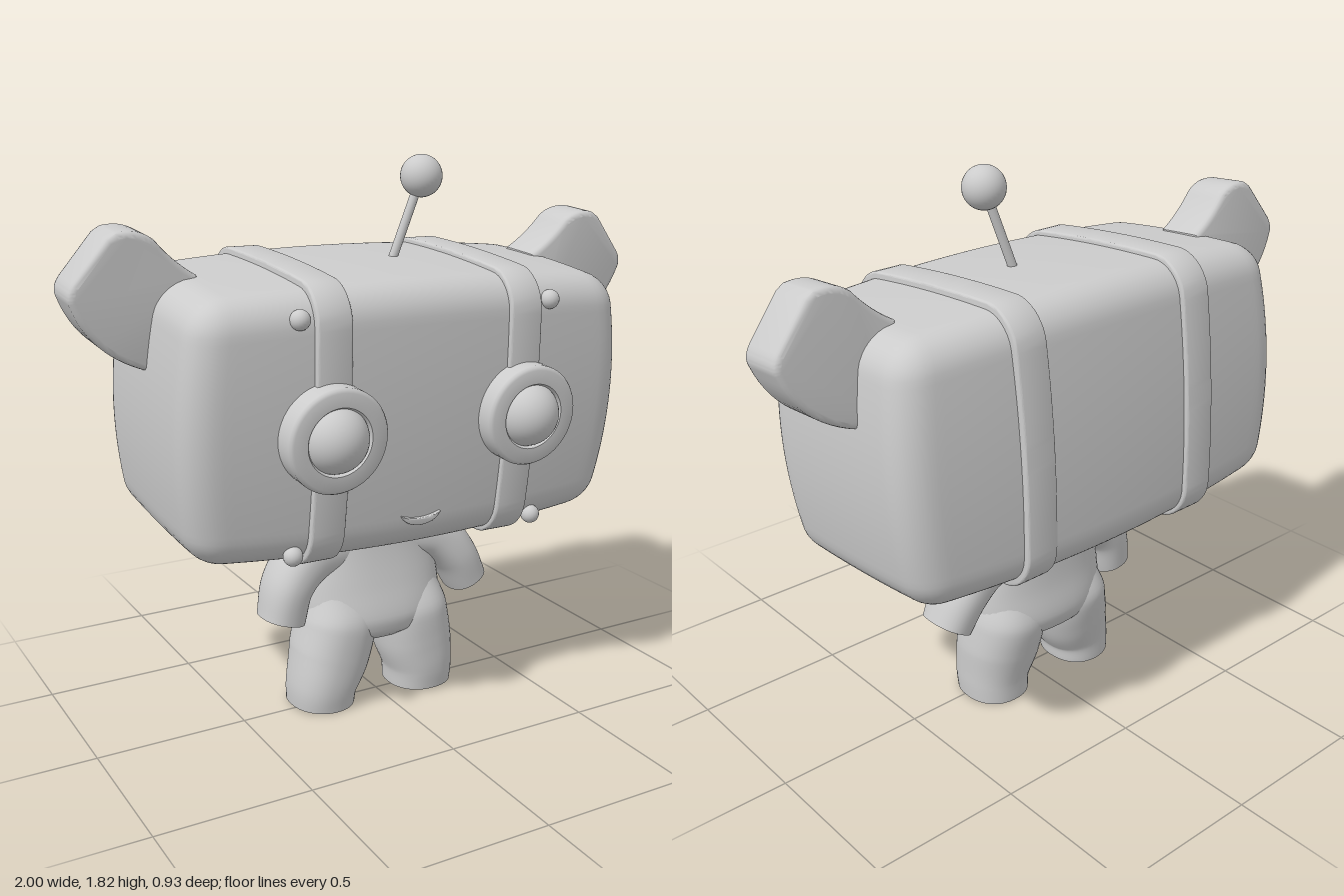
import * as THREE from 'three';
import { mergeVertices, toCreasedNormals } from 'three/addons/utils/BufferGeometryUtils.js';

const material = new THREE.MeshStandardMaterial({ color: 0xcccccc });
const HEAD = [0.78, 0.44, 0.39];

function part(parent, name, geometry, x = 0, y = 0, z = 0) {
  const mesh = new THREE.Mesh(geometry, material);
  mesh.name = name;
  mesh.position.set(x, y, z);
  parent.add(mesh);
  return mesh;
}

// Moves a point of a box surface onto a rounded box with bulging faces
function pillow(p, [hx, hy, hz], r) {
  const inner = new THREE.Vector3(hx - r, hy - r, hz - r);
  const core = p.clone().clamp(inner.clone().negate(), inner);
  p.sub(core).setLength(r).add(core);
  const u = (p.x / hx) ** 2, v = (p.y / hy) ** 2, w = (p.z / hz) ** 2;
  return p.set(
    p.x * (1 - 0.06 * v),
    p.y * (1 - 0.08 * u) * (1 - 0.03 * w),
    p.z * (1 - 0.1 * u) * (1 - 0.06 * v));
}

function headShell() {
  const [hx, hy, hz] = HEAD;
  let geo = new THREE.BoxGeometry(hx * 2, hy * 2, hz * 2, 56, 36, 36);
  geo.deleteAttribute('uv');
  geo.deleteAttribute('normal');
  geo = mergeVertices(geo);
  const pos = geo.attributes.position, p = new THREE.Vector3();
  for (let i = 0; i < pos.count; i++) {
    pillow(p.fromBufferAttribute(pos, i), HEAD, 0.1);
    pos.setXYZ(i, p.x, p.y, p.z);
  }
  geo.computeVertexNormals();
  return geo;
}

function extrude(points, depth, bevel) {
  const shape = Array.isArray(points) ? new THREE.Shape(points) : points;
  const geo = new THREE.ExtrudeGeometry(shape, {
    depth: depth - 2 * bevel, bevelThickness: bevel, bevelSize: bevel, bevelOffset: -bevel,
    bevelSegments: 3, curveSegments: 12
  });
  geo.translate(0, 0, bevel - depth / 2);
  return toCreasedNormals(geo, 0.6);
}

// Strap that follows the head's own cross-section, slightly proud of it
function strap() {
  const t = 0.018, [hx, hy, hz] = [HEAD[0], HEAD[1] + t, HEAD[2] + t];
  const corners = [[-1, -1], [1, -1], [1, 1], [-1, 1]], n = 36, points = [];
  corners.forEach(([a, b], k) => {
    const [c, d] = corners[(k + 1) % 4];
    for (let i = 0; i < n; i++) {
      const s = i / n;
      const p = new THREE.Vector3(0.34, (b + (d - b) * s) * hy, (a + (c - a) * s) * hz);
      pillow(p, [hx, hy, hz], 0.1 + t);
      points.push(new THREE.Vector2(-p.z, p.y));
    }
  });
  return extrude(points, 0.115, 0.007).rotateY(Math.PI / 2);
}

// Ear outline in the head's frame, mirrored by side
function ear(side) {
  const s = new THREE.Shape();
  s.moveTo(side * 0.6, 0.3);
  s.lineTo(side * 0.61, 0.42);
  s.quadraticCurveTo(side * 0.68, 0.46, side * 0.74, 0.53);
  s.quadraticCurveTo(side * 0.79, 0.57, side * 0.86, 0.556);
  s.lineTo(side * 0.885, 0.54);
  s.lineTo(side * 0.985, 0.415);
  s.quadraticCurveTo(side * 1.01, 0.38, side * 0.995, 0.35);
  s.quadraticCurveTo(side * 0.94, 0.2, side * 0.77, 0.14);
  s.lineTo(side * 0.65, 0.14);
  return extrude(s, 0.165, 0.018);
}

// Smooth limb through keys [x, y, z, half width, half depth], with flat ends
function limb(keys) {
  const centre = new THREE.CatmullRomCurve3(keys.map(k => new THREE.Vector3(k[0], k[1], k[2])));
  const size = new THREE.CatmullRomCurve3(keys.map(k => new THREE.Vector3(k[3], k[4], 0)));
  const rows = 28, cols = 40, pos = [], index = [];
  const round = v => Math.sign(v) * Math.abs(v) ** 0.88;
  for (let i = 0; i <= rows; i++) {
    const c = centre.getPoint(i / rows), t = centre.getTangent(i / rows), r = size.getPoint(i / rows);
    const len = Math.hypot(t.x, t.y);
    for (let j = 0; j < cols; j++) {
      const a = j / cols * Math.PI * 2;
      const w = round(Math.cos(a)) * r.x, d = round(Math.sin(a)) * r.y;
      pos.push(c.x + t.y / len * w, Math.max(0, c.y - t.x / len * w), c.z + d);
    }
  }
  for (let i = 0; i < rows; i++) {
    for (let j = 0; j < cols; j++) {
      const a = i * cols + j, b = i * cols + (j + 1) % cols;
      index.push(a, a + cols, b, b, a + cols, b + cols);
    }
  }
  for (const row of [0, rows]) {
    const base = pos.length / 3, start = row * cols * 3;
    pos.push(...pos.slice(start, start + cols * 3));
    for (let j = 1; j < cols - 1; j++) {
      if (row) index.push(base, base + j + 1, base + j);
      else index.push(base, base + j, base + j + 1);
    }
  }
  const geo = new THREE.BufferGeometry();
  geo.setAttribute('position', new THREE.Float32BufferAttribute(pos, 3));
  geo.setIndex(index);
  geo.computeVertexNormals();
  return geo;
}

export function createModel() {
  const model = new THREE.Group();
  model.name = 'robotFigure';

  // Head, tipped slightly forward and to one side
  const head = new THREE.Group();
  head.name = 'head';
  head.position.set(-0.003, 1.06, -0.045);
  head.rotation.set(0.07, 0, -0.0125);
  model.add(head);
  part(head, 'headShell', headShell());

  const v2 = (x, y) => new THREE.Vector2(x, y);
  const rim = toCreasedNormals(new THREE.LatheGeometry(
    [v2(0.1, 0), v2(0.163, 0), v2(0.163, 0.088), v2(0.158, 0.096), v2(0.15, 0.1), v2(0.106, 0.1), v2(0.1, 0.09), v2(0.1, 0)],
    56).rotateX(Math.PI / 2), 0.6);

  for (const side of [-1, 1]) {
    const label = side > 0 ? 'left' : 'right';
    part(head, label + 'Strap', strap(), side * 0.336);
    part(head, label + 'Ear', ear(side), 0, 0, -0.06);
    // Eye with its rim
    part(head, label + 'EyeRim', rim, side * 0.343, 0, 0.355);
    part(head, label + 'Eye', new THREE.SphereGeometry(0.105, 40, 28), side * 0.343, 0, 0.412);
    // Rivets above and below the eye
    for (const y of [0.35, -0.38])
      part(head, label + 'Rivet', new THREE.SphereGeometry(0.031, 20, 14), side * 0.438, y, y > 0 ? 0.36 : 0.355);
  }

  // Smile
  const smile = new THREE.Shape();
  smile.moveTo(-0.07, 0.015);
  smile.quadraticCurveTo(0, -0.012, 0.07, 0.015);
  smile.quadraticCurveTo(0.055, -0.02, 0, -0.022);
  smile.quadraticCurveTo(-0.055, -0.02, -0.07, 0.015);
  part(head, 'mouth', extrude(smile, 0.04, 0.003), -0.01, -0.313, 0.37);

  // Antenna
  const from = new THREE.Vector3(0.07, 1.48, -0.02), to = new THREE.Vector3(0.165, 1.75, 0.005);
  const rod = part(model, 'antennaRod', new THREE.CylinderGeometry(0.015, 0.015, from.distanceTo(to), 16));
  rod.position.copy(from).lerp(to, 0.5);
  rod.quaternion.setFromUnitVectors(new THREE.Vector3(0, 1, 0), to.clone().sub(from).normalize());
  part(model, 'antennaBall', new THREE.SphereGeometry(0.068, 32, 24), to.x, to.y, to.z);

  // Body
  part(model, 'torso', limb([
    [0, 0.66, -0.05, 0.19, 0.1], [0, 0.55, -0.053, 0.22, 0.112], [0, 0.42, -0.045, 0.25, 0.13],
    [0, 0.31, -0.04, 0.255, 0.152], [0, 0.25, -0.035, 0.225, 0.14], [0, 0.215, -0.03, 0.15, 0.09]]));
  part(model, 'leftLeg', limb([
    [0.13, 0.4, -0.04, 0.1, 0.1], [0.14, 0.28, -0.035, 0.132, 0.15], [0.155, 0.17, -0.025, 0.133, 0.14],
    [0.171, 0.07, -0.015, 0.117, 0.127], [0.172, 0, -0.018, 0.113, 0.12]]));
  part(model, 'rightLeg', limb([
    [-0.13, 0.4, -0.04, 0.1, 0.1], [-0.14, 0.28, -0.035, 0.132, 0.15], [-0.17, 0.17, -0.025, 0.133, 0.14],
    [-0.205, 0.07, -0.015, 0.115, 0.127], [-0.21, 0, -0.018, 0.11, 0.12]]));
  part(model, 'leftArm', limb([
    [0.12, 0.54, -0.045, 0.08, 0.09], [0.24, 0.52, -0.04, 0.09, 0.1], [0.32, 0.44, -0.033, 0.08, 0.102],
    [0.375, 0.337, -0.03, 0.073, 0.09]]));
  part(model, 'rightArm', limb([
    [-0.12, 0.54, -0.045, 0.08, 0.09], [-0.24, 0.52, -0.04, 0.09, 0.1], [-0.315, 0.44, -0.033, 0.08, 0.102],
    [-0.345, 0.322, -0.03, 0.076, 0.09]]));
  return model;
}
